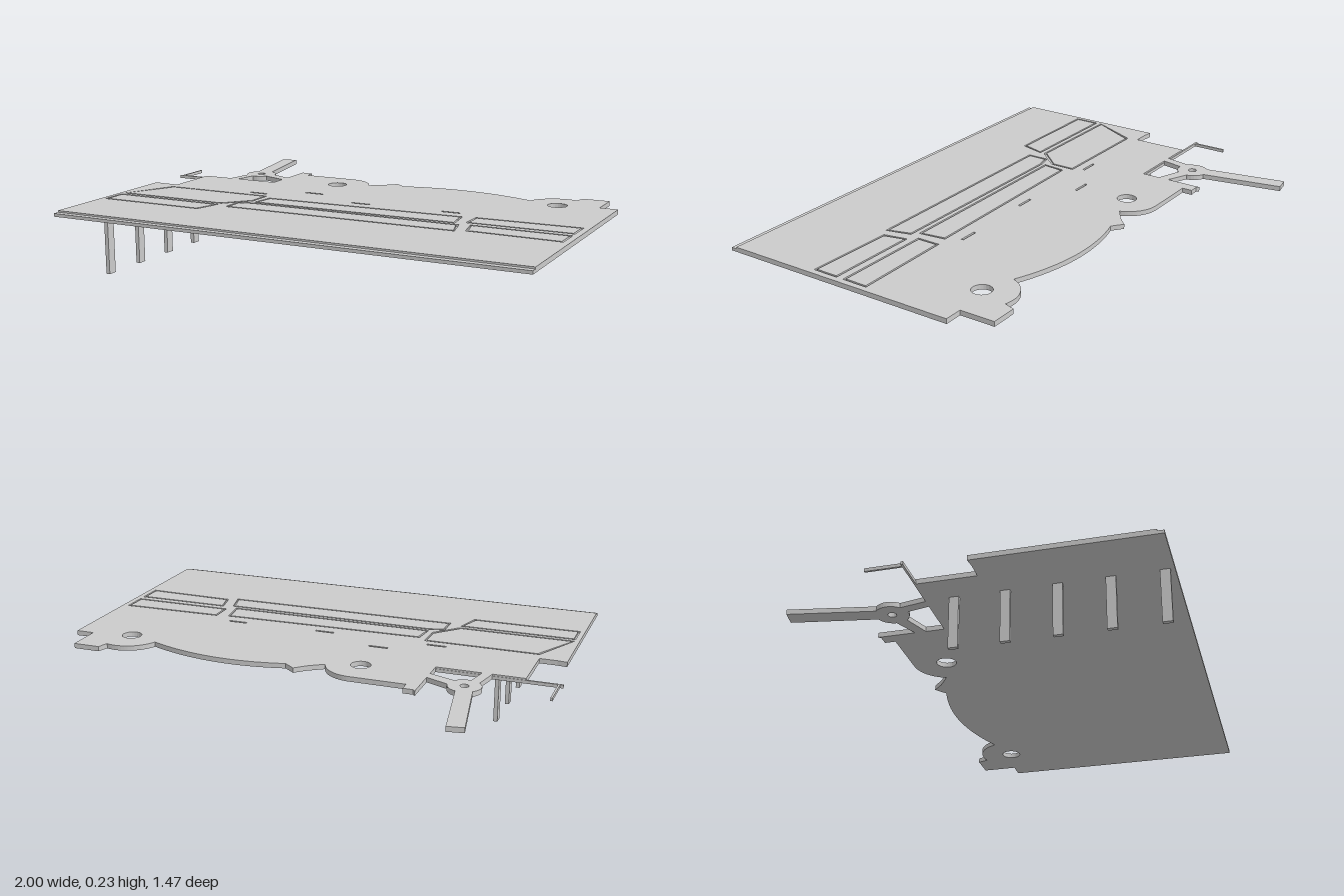
import * as THREE from 'three';

const material = new THREE.MeshStandardMaterial({ color: 0xcccccc, flatShading: true });
const BOTTOM = 0.208, STEP = 0.221, TOP = 0.228;

const toPoints = (list) => list.map(([x, z]) => new THREE.Vector2(x, z));

function arc(cx, cz, r, from, to, n = 16) {
  return Array.from({ length: n + 1 }, (_, i) => {
    const a = from + (to - from) * i / n;
    return [cx + r * Math.cos(a), cz + r * Math.sin(a)];
  });
}

// Flat piece drawn in plan (x, z) and given a height range
function slab(name, outline, holes, y0, y1) {
  const shape = new THREE.Shape(toPoints(outline));
  holes.forEach((h) => shape.holes.push(new THREE.Path(toPoints(h))));
  const geometry = new THREE.ExtrudeGeometry(shape, { depth: y1 - y0, bevelEnabled: false });
  geometry.rotateX(Math.PI / 2).translate(0, y1, 0);
  const mesh = new THREE.Mesh(geometry, material);
  mesh.name = name;
  return mesh;
}

function box(name, w, h, d, x, y, z) {
  const mesh = new THREE.Mesh(new THREE.BoxGeometry(w, h, d), material);
  mesh.position.set(x, y, z);
  mesh.name = name;
  return mesh;
}

// Board outline, with a chosen front edge
function boardOutline(frontZ) {
  const bow = new THREE.QuadraticBezierCurve(
    ...toPoints([[0.63, -0.315], [0.335, -0.4425], [0.04, -0.36]]));
  return [
    [-0.97, frontZ], [1, frontZ], [1, -0.3], [0.925, -0.3], [0.925, -0.445], [0.815, -0.445],
    ...arc(0.76, -0.27, 0.137, -1.27, -2.81),
    ...bow.getPoints(24).map((p) => [p.x, p.y]),
    [-0.005, -0.395], [-0.045, -0.355],
    ...arc(-0.235, -0.27, 0.137, -0.32, -Math.PI / 2),
    [-0.46, -0.407], [-0.46, -0.45], [-0.5, -0.45], [-0.51, -0.46],
    [-0.51, -0.19], [-0.86, -0.19], [-0.86, 0.045], [-0.93, 0.045], [-0.97, 0.04],
  ];
}

// Shallow panels, each edged by a groove
const panels = [
  [[-0.95, 0.3], [-0.85, 0.09], [-0.38, 0.09], [-0.38, 0.2], [-0.47, 0.3]],
  [[-0.95, 0.32], [-0.47, 0.32], [-0.5, 0.43], [-0.95, 0.43]],
  [[-0.35, 0.12], [0.5, 0.1], [0.515, 0.215], [-0.36, 0.22]],
  [[-0.42, 0.25], [-0.36, 0.235], [0.54, 0.235], [0.565, 0.34], [-0.42, 0.345]],
  [[0.55, 0.09], [0.975, 0.08], [0.975, 0.19], [0.55, 0.19]],
  [[0.58, 0.22], [0.975, 0.22], [0.975, 0.33], [0.6, 0.32]],
];

function inset(points, gap) {
  const cx = points.reduce((s, p) => s + p[0], 0) / points.length;
  const cz = points.reduce((s, p) => s + p[1], 0) / points.length;
  return points.map(([x, z]) => [x + gap * Math.sign(cx - x), z + gap * Math.sign(cz - z)]);
}

export function createModel() {
  const model = new THREE.Group();
  model.name = 'board';

  // Board in two layers, leaving a low lip along the front
  const roundHoles = [-0.235, 0.76].map((x) => arc(x, -0.27, 0.04, 0, Math.PI * 2 * 23 / 24, 23));
  const slots = [[-0.444, 0.048], [-0.23, -0.05], [0.037, 0.052], [0.427, 0.043]].map(([x, z]) =>
    [[x - 0.04, z - 0.005], [x + 0.04, z - 0.005], [x + 0.04, z + 0.005], [x - 0.04, z + 0.005]]);
  model.add(slab('basePlate', boardOutline(0.73), roundHoles, BOTTOM, STEP));
  model.add(slab('topPlate', boardOutline(0.705), [...roundHoles, ...slots, ...panels], STEP, TOP));
  panels.forEach((p) => model.add(slab('panel', inset(p, 0.008), [], STEP, TOP)));

  // Pivot hub with its long arm and two struts
  const hub = new THREE.Group();
  hub.name = 'pivotArm';
  hub.add(slab('hub', arc(-0.665, -0.345, 0.065, 0, Math.PI * 2 * 31 / 32, 31),
    [arc(-0.665, -0.345, 0.017, 0, Math.PI * 2 * 15 / 16, 15)], BOTTOM, TOP));
  hub.add(slab('arm', [[-0.77, -0.727], [-0.705, -0.738], [-0.645, -0.402], [-0.708, -0.39]], [], BOTTOM, TOP));
  hub.add(slab('sideStrut', [[-0.61, -0.355], [-0.51, -0.31], [-0.51, -0.265], [-0.625, -0.308]], [], BOTTOM, TOP));
  hub.add(slab('frontStrut', [[-0.71, -0.3], [-0.672, -0.287], [-0.692, -0.188], [-0.732, -0.188]], [], BOTTOM, TOP));
  model.add(hub);

  // Thin bent rod at the back right corner
  const rodY = (BOTTOM + STEP) / 2, rodH = STEP - BOTTOM;
  model.add(box('rod', 0.49, rodH, 0.008, -0.755, rodY, -0.188));
  model.add(box('rodEnd', 0.008, rodH, 0.145, -0.984, rodY, -0.26));

  // Row of posts under the board
  for (let i = 0; i < 5; i++) {
    model.add(box('post', 0.016, 0.21, 0.037, -0.73, 0.105, 0.695 - i * 0.194));
  }
  return model;
}
